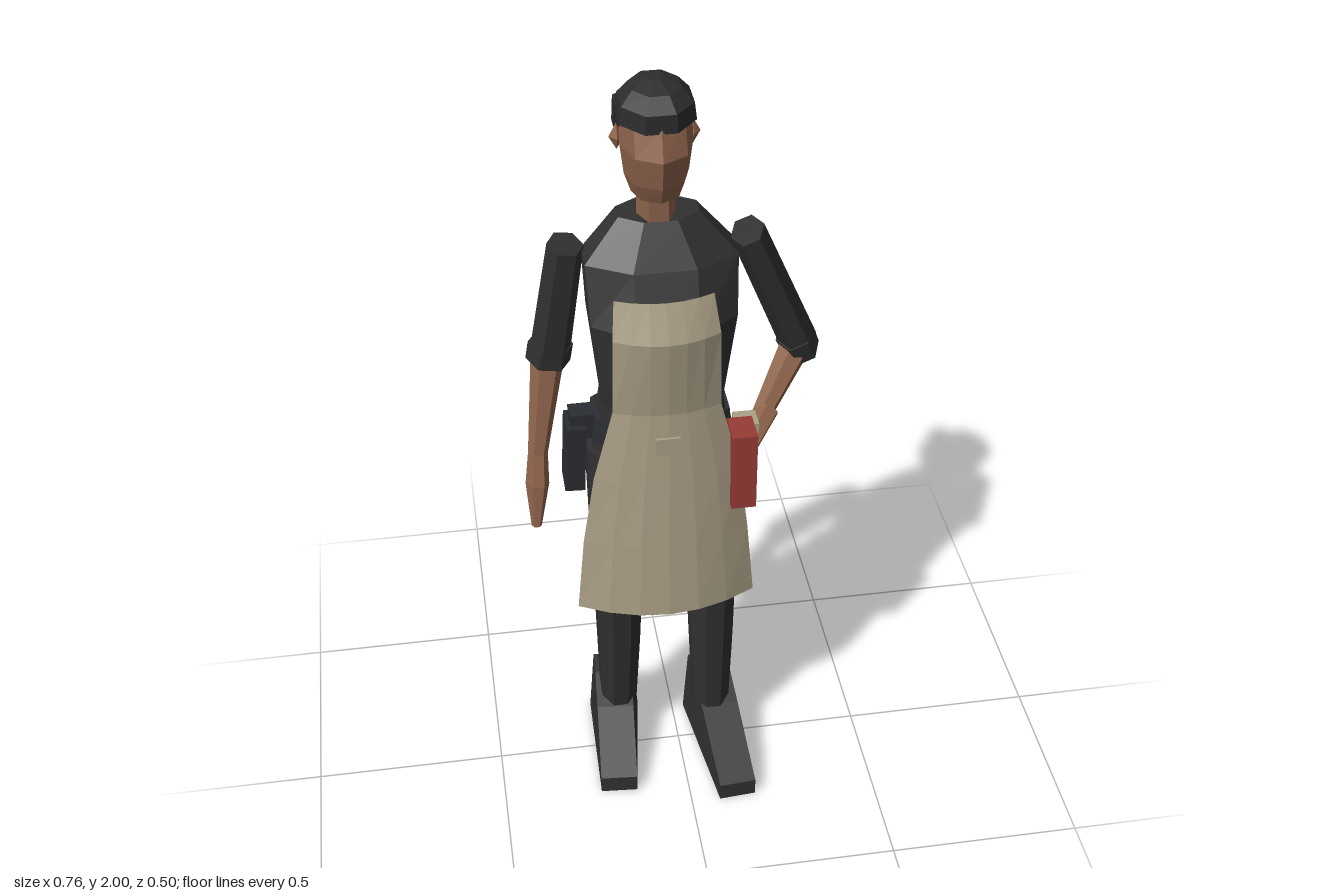
import * as THREE from 'three';

const mat = (name, color, side = THREE.FrontSide) =>
  new THREE.MeshStandardMaterial({ name, color, flatShading: true, side });
const M = {
  cloth: mat('charcoal cloth', 0x303030),
  hair: mat('black hair', 0x2c2d2f),
  skin: mat('brown skin', 0x8c624a),
  apron: mat('tan canvas', 0xaca087, THREE.DoubleSide),
  red: mat('red notebook', 0x983b35),
  gear: mat('dark gear', 0x2a2d31),
};
const CX = -0.04; // body centre line

export function createModel() {
  const g = new THREE.Group();
  const add = (name, geo, material) => {
    const m = new THREE.Mesh(geo, material);
    m.name = name;
    g.add(m);
    return m;
  };

  // Closed loft; each ring is [y, xMin, xMax, zBack, zFront], bottom to top
  const loft = (name, material, rings, phase = 0.5, n = 8) => {
    const pos = [], idx = [];
    const k = phase ? 1 / Math.cos(Math.PI / n) : 1;
    for (const [y, x0, x1, z0, z1] of rings)
      for (let j = 0; j < n; j++) {
        const a = ((j + phase) / n) * Math.PI * 2;
        pos.push((x0 + x1) / 2 + ((x1 - x0) / 2) * k * Math.sin(a), y,
          (z0 + z1) / 2 + ((z1 - z0) / 2) * k * Math.cos(a));
      }
    const last = rings.length - 1;
    for (let i = 0; i < last; i++)
      for (let j = 0; j < n; j++) {
        const a = i * n + j, b = i * n + ((j + 1) % n);
        idx.push(a, b, b + n, a, b + n, a + n);
      }
    for (let j = 1; j < n - 1; j++) {
      idx.push(0, j + 1, j);
      idx.push(last * n, last * n + j, last * n + j + 1);
    }
    const geo = new THREE.BufferGeometry();
    geo.setAttribute('position', new THREE.Float32BufferAttribute(pos, 3));
    geo.setIndex(idx);
    geo.computeVertexNormals();
    return add(name, geo, material);
  };

  // Tapered prism between two points, stretched along z by depth
  const limb = (name, material, p, q, r0, r1, depth = 1, n = 6) => {
    const a = new THREE.Vector3(...p), b = new THREE.Vector3(...q);
    const d = a.clone().sub(b);
    const geo = new THREE.CylinderGeometry(r0, r1, d.length(), n);
    geo.rotateY(Math.PI / n);
    geo.scale(1, 1, depth);
    const m = add(name, geo, material);
    m.position.copy(a).add(b).multiplyScalar(0.5);
    m.quaternion.setFromUnitVectors(new THREE.Vector3(0, 1, 0), d.normalize());
    return m;
  };
  const box = (name, material, x0, x1, y0, y1, z0, z1) => {
    const m = add(name, new THREE.BoxGeometry(x1 - x0, y1 - y0, z1 - z0), material);
    m.position.set((x0 + x1) / 2, (y0 + y1) / 2, (z0 + z1) / 2);
    return m;
  };

  // Torso, pelvis and belt
  loft('shirt', M.cloth, [
    [1.08, -0.2, 0.125, -0.15, 0.05],
    [1.18, -0.185, 0.112, -0.145, 0.06],
    [1.42, -0.21, 0.14, -0.168, 0.095],
    [1.56, -0.215, 0.148, -0.17, 0.03],
    [1.66, -0.13, 0.06, -0.152, -0.03],
  ]);
  loft('pelvis', M.cloth, [
    [0.9, -0.2, 0.125, -0.15, 0.05],
    [1.02, -0.215, 0.14, -0.17, 0.06],
    [1.1, -0.2, 0.125, -0.155, 0.055],
  ]);
  loft('belt', M.gear, [
    [1.06, -0.212, 0.137, -0.18, 0.06],
    [1.13, -0.205, 0.13, -0.175, 0.06],
  ]);
  box('beltPouch', M.gear, -0.11, 0.03, 1.03, 1.12, -0.19, -0.16);
  box('shirtTail', M.cloth, -0.08, 0.01, 0.95, 1.05, -0.178, -0.16);

  // Head, ears, hair and bun
  loft('neck', M.skin, [
    [1.63, -0.08, 0.0, -0.125, -0.03],
    [1.76, -0.08, 0.0, -0.125, -0.03],
  ], 0.5, 6);
  loft('head', M.skin, [
    [1.73, -0.1, 0.02, -0.13, 0.01],
    [1.775, -0.115, 0.035, -0.16, 0.033],
    [1.85, -0.124, 0.044, -0.172, 0.05],
    [1.92, -0.122, 0.042, -0.17, 0.024],
  ], 0);
  for (const s of [-1, 1]) {
    const ear = add('ear', new THREE.OctahedronGeometry(0.03), M.skin);
    ear.scale.set(0.6, 1.1, 0.7);
    ear.position.set(CX + s * 0.087, 1.855, -0.09);
  }
  loft('hairCap', M.hair, [
    [1.91, -0.128, 0.048, -0.182, 0.024],
    [1.955, -0.122, 0.042, -0.165, 0.024],
    [1.985, -0.095, 0.015, -0.14, -0.01],
    [2.0, -0.06, -0.02, -0.105, -0.055],
  ]);
  loft('hairBack', M.hair, [
    [1.79, -0.1, 0.02, -0.172, -0.13],
    [1.86, -0.129, 0.049, -0.186, -0.105],
    [1.93, -0.128, 0.048, -0.182, -0.055],
  ]);
  const bun = add('hairBun', new THREE.SphereGeometry(0.047, 6, 4), M.hair);
  bun.rotation.x = Math.PI / 2;
  bun.scale.set(0.9, 1, 1);
  bun.position.set(CX, 1.84, -0.208);

  // Left arm, hand on hip
  limb('leftSleeve', M.cloth, [0.178, 1.585, -0.085], [0.328, 1.22, -0.147], 0.043, 0.048, 1.25);
  limb('leftCuff', M.cloth, [0.315, 1.245, -0.143], [0.34, 1.19, -0.152], 0.05, 0.046, 1.3);
  limb('leftForearm', M.skin, [0.325, 1.215, -0.145], [0.215, 1.07, -0.04], 0.042, 0.026);
  limb('leftHand', M.skin, [0.235, 1.085, -0.055], [0.17, 1.015, 0.005], 0.032, 0.03, 1.3);

  // Right arm, hanging
  limb('rightSleeve', M.cloth, [-0.252, 1.582, -0.095], [-0.297, 1.26, -0.135], 0.044, 0.05, 1.15);
  limb('rightCuff', M.cloth, [-0.295, 1.285, -0.133], [-0.303, 1.235, -0.137], 0.056, 0.056);
  limb('rightForearm', M.skin, [-0.304, 1.25, -0.13], [-0.345, 1.0, -0.07], 0.042, 0.025);
  limb('rightPalm', M.skin, [-0.345, 1.0, -0.07], [-0.352, 0.92, -0.048], 0.025, 0.03, 1.2);
  limb('rightFingers', M.skin, [-0.352, 0.92, -0.048], [-0.362, 0.81, -0.015], 0.03, 0.013, 1.2);

  // Trouser legs
  loft('leftLeg', M.cloth, [
    [0.13, 0.045, 0.14, -0.075, 0.04],
    [0.4, 0.035, 0.148, -0.095, 0.05],
    [0.57, 0.03, 0.15, -0.105, 0.06],
    [0.8, -0.01, 0.15, -0.135, 0.062],
    [1.04, -0.035, 0.15, -0.175, 0.055],
  ]);
  loft('rightLeg', M.cloth, [
    [0.13, -0.207, -0.112, -0.125, -0.005],
    [0.4, -0.212, -0.1, -0.14, 0.03],
    [0.57, -0.217, -0.097, -0.125, 0.05],
    [0.8, -0.222, -0.07, -0.145, 0.058],
    [1.04, -0.225, -0.04, -0.175, 0.055],
  ]);

  // Wedge shoes, narrower at the toe and ankle
  const shoe = (name, x, heel, toe, turn) => {
    const L = toe - heel;
    const s = new THREE.Shape([[0, 0], [L, 0], [L, 0.05], [0.16, 0.145], [0.06, 0.185], [0, 0.195]]
      .map(([u, v]) => new THREE.Vector2(u, v)));
    const geo = new THREE.ExtrudeGeometry(s, { depth: 0.136, bevelEnabled: false });
    geo.translate(0, 0, -0.068);
    geo.rotateY(-Math.PI / 2);
    const p = geo.attributes.position;
    for (let i = 0; i < p.count; i++) {
      const k = 1 - 0.28 * (p.getZ(i) / L) - 1.6 * Math.max(0, p.getY(i) - 0.06);
      p.setX(i, p.getX(i) * k);
    }
    geo.computeVertexNormals();
    const m = add(name, geo, M.cloth);
    m.position.set(x, 0, heel);
    m.rotation.y = turn;
  };
  shoe('leftShoe', 0.1, -0.125, 0.247, 0.07);
  shoe('rightShoe', -0.163, -0.16, 0.178, -0.08);

  // Apron: curved sheet, rows are [y, xMin, xMax, zMiddle, zEdge]
  const rows = [
    [0.58, -0.27, 0.19, 0.12, 0.052],
    [0.8, -0.25, 0.17, 0.112, 0.055],
    [1.0, -0.22, 0.145, 0.103, 0.06],
    [1.2, -0.17, 0.095, 0.095, 0.065],
    [1.42, -0.168, 0.088, 0.126, 0.088],
    [1.515, -0.16, 0.075, 0.09, 0.062],
  ];
  const apron = new THREE.PlaneGeometry(1, 1, 6, rows.length - 1);
  const ap = apron.attributes.position;
  for (let i = 0; i < ap.count; i++) {
    const [y, x0, x1, zm, ze] = rows[rows.length - 1 - Math.floor(i / 7)];
    const t = ((i % 7) / 6) * 2 - 1;
    ap.setXYZ(i, (x0 + x1) / 2 + (t * (x1 - x0)) / 2, y, zm + (ze - zm) * t * t);
  }
  apron.computeVertexNormals();
  add('apron', apron, M.apron);
  box('apronTag', M.apron, -0.07, -0.01, 1.09, 1.135, 0.095, 0.104);

  // Items carried at the hips
  box('notebook', M.red, 0.12, 0.183, 0.89, 1.11, 0.007, 0.093);
  box('apronTie', M.apron, 0.14, 0.198, 1.07, 1.1, -0.03, 0.03);
  const holster = box('holster', M.gear, -0.28, -0.23, 0.91, 1.1, -0.1, -0.015);
  holster.rotation.z = -0.05;
  box('holsterClip', M.gear, -0.265, -0.2, 1.06, 1.13, -0.085, -0.03);

  return g;
}
